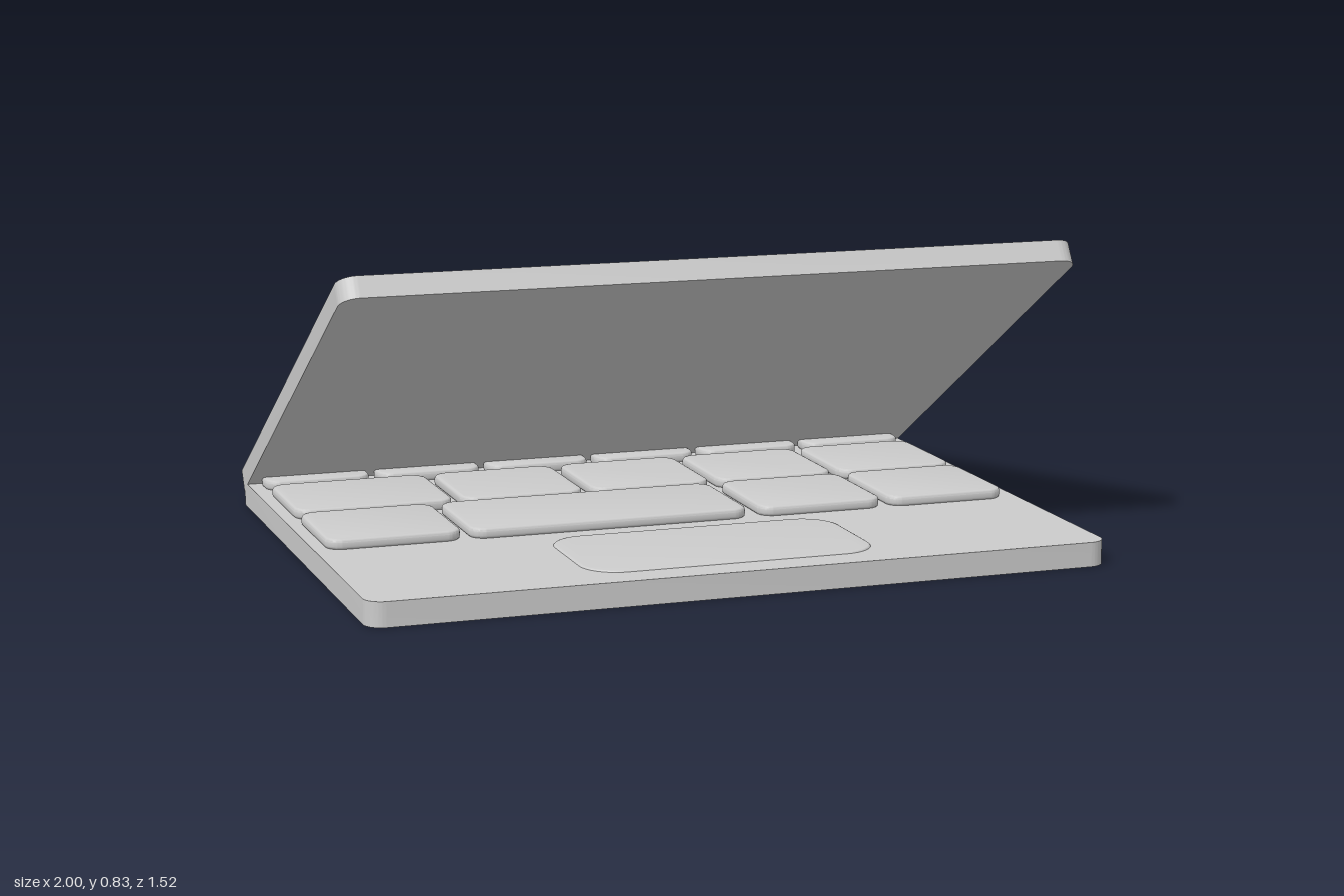
import * as THREE from 'three';
import { toCreasedNormals } from 'three/addons/utils/BufferGeometryUtils.js';

const material = new THREE.MeshStandardMaterial({ color: 0xcccccc });

// Flat slab with rounded corners spanning x0..x1, z0..z1 and y0..y1; bevel softens its rims
function slab(name, x0, x1, z0, z1, y0, y1, r, bevel = 0) {
  const hw = (x1 - x0) / 2 - bevel, hd = (z1 - z0) / 2 - bevel;
  const c = r - bevel;
  const s = new THREE.Shape();
  s.moveTo(-hw + c, -hd);
  s.absarc(hw - c, -hd + c, c, -Math.PI / 2, 0);
  s.absarc(hw - c, hd - c, c, 0, Math.PI / 2);
  s.absarc(-hw + c, hd - c, c, Math.PI / 2, Math.PI);
  s.absarc(-hw + c, -hd + c, c, Math.PI, Math.PI * 1.5);
  const geo = new THREE.ExtrudeGeometry(s, {
    depth: y1 - y0 - 2 * bevel,
    curveSegments: 8,
    bevelEnabled: bevel > 0,
    bevelThickness: bevel,
    bevelSize: bevel,
    bevelSegments: 3,
  });
  geo.rotateX(-Math.PI / 2);
  geo.translate((x0 + x1) / 2, y0 + bevel, (z0 + z1) / 2);
  const mesh = new THREE.Mesh(toCreasedNormals(geo, 0.65), material);
  mesh.name = name;
  return mesh;
}

export function createModel() {
  const laptop = new THREE.Group();
  laptop.name = 'laptop';
  const deck = 0.066;

  laptop.add(slab('base', -1, 1, -0.727, 0.762, 0, deck, 0.05));
  laptop.add(slab('trackpad', -0.4, 0.395, 0.265, 0.672, deck - 0.012, deck + 0.004, 0.1, 0.007));

  // Key rows: depth range and the x range of every key
  const topRow = Array.from({ length: 6 }, (_, i) => [-0.965 + i * 0.325, -0.965 + i * 0.325 + 0.3]);
  const rows = [
    { z: [-0.14, 0.208], keys: [[-0.967, -0.602], [-0.578, 0.2], [0.235, 0.592], [0.614, 0.958]] },
    { z: [-0.505, -0.158], keys: [[-0.967, -0.525], [-0.5, -0.15], [-0.125, 0.222], [0.245, 0.592], [0.614, 0.958]] },
    { z: [-0.65, -0.535], keys: topRow },
  ];
  const keyboard = new THREE.Group();
  keyboard.name = 'keyboard';
  for (const { z, keys } of rows)
    for (const [x0, x1] of keys)
      keyboard.add(slab('key', x0, x1, z[0], z[1], deck - 0.002, 0.093, 0.045, 0.009));
  laptop.add(keyboard);

  // Lid tilted over the keyboard, pivoting on its upper rear edge
  const lid = new THREE.Group();
  lid.name = 'lid';
  lid.add(slab('lidPanel', -1, 1, 0, 1.488, -0.06, 0, 0.05));
  lid.position.set(0, 0.068, -0.76);
  lid.rotation.x = -THREE.MathUtils.degToRad(30.95);
  laptop.add(lid);

  return laptop;
}
